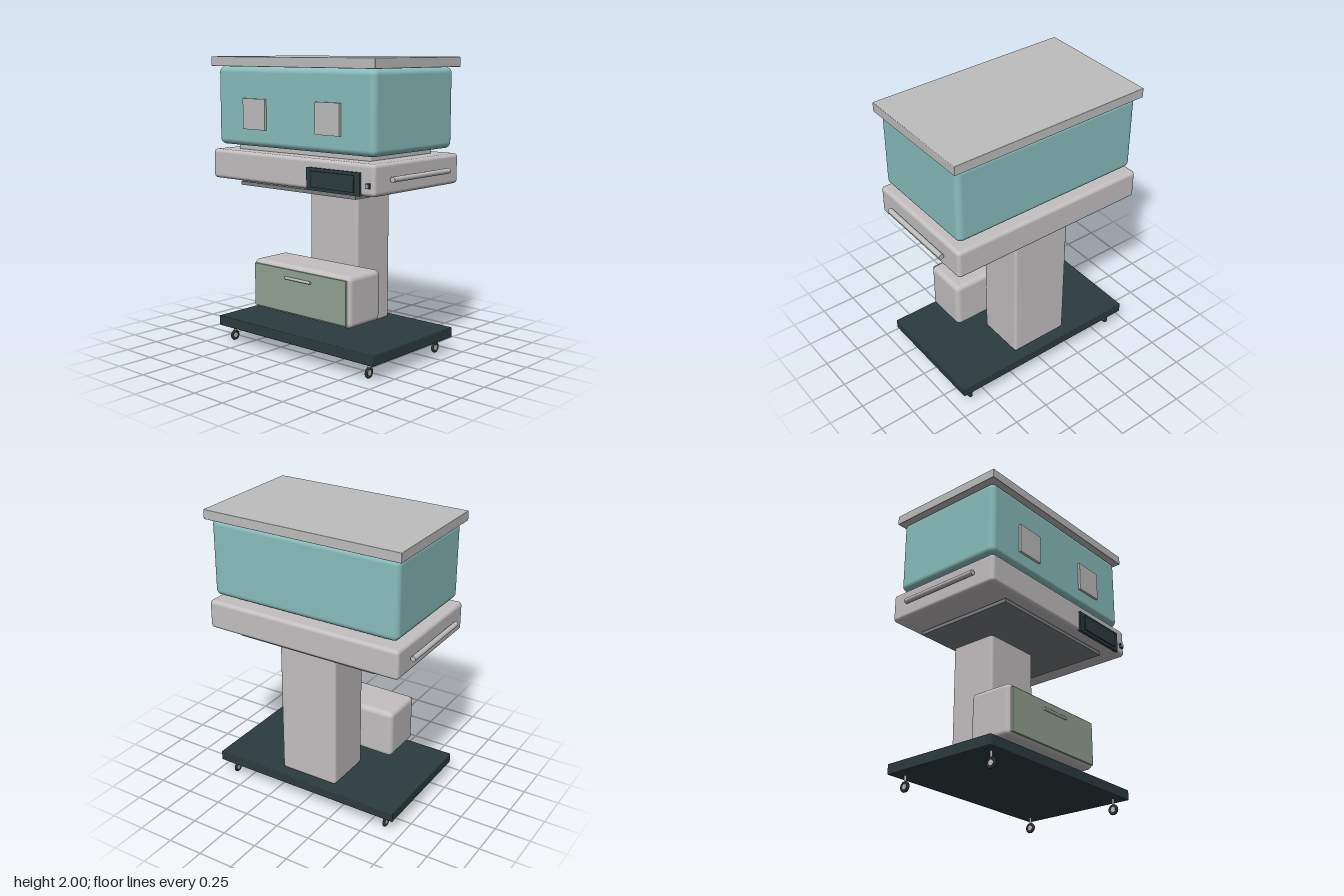
import * as THREE from 'three';
import { RoundedBoxGeometry } from 'three/addons/geometries/RoundedBoxGeometry.js';

export function createModel() {
  const model = new THREE.Group();
  model.name = 'infantWarmerCart';

  const mat = (name, color) => {
    const m = new THREE.MeshStandardMaterial({ color });
    m.name = name;
    return m;
  };
  const shell = mat('shell grey', 0xc4c0c2);
  const metal = mat('metal grey', 0xbebebe);
  const teal = mat('hood teal', 0x8abebe);
  const dark = mat('dark slate', 0x2b3c3e);
  const plateGrey = mat('plate grey', 0x7c7f83);
  const sage = mat('drawer sage', 0x93a394);
  const rubber = mat('wheel rubber', 0x2c2f30);

  const add = (name, geo, material, parent = model) => {
    const mesh = new THREE.Mesh(geo, material);
    mesh.name = name;
    parent.add(mesh);
    return mesh;
  };
  // Box given by its extents, with rounded edges when r > 0
  const box = (name, material, [x0, x1], [y0, y1], [z0, z1], r = 0, parent = model) => {
    const s = [x1 - x0, y1 - y0, z1 - z0];
    const geo = r ? new RoundedBoxGeometry(...s, 4, r) : new THREE.BoxGeometry(...s);
    geo.translate((x0 + x1) / 2, (y0 + y1) / 2, (z0 + z1) / 2);
    return add(name, geo, material, parent);
  };

  // Hood with lid and two port covers
  box('lid', metal, [-0.72, 0.72], [1.935, 2], [-0.45, 0.43], 0.004);
  box('hood', teal, [-0.69, 0.69], [1.405, 1.935], [-0.42, 0.4], 0.04);
  for (const s of [-1, 1]) {
    const x = s * 0.325;
    box(s < 0 ? 'rightPort' : 'leftPort', metal, [x - 0.103, x + 0.103], [1.52, 1.725], [0.395, 0.417]);
  }
  box('mattress', shell, [-0.587, 0.587], [1.36, 1.415], [-0.33, 0.31], 0.015);

  // Tray with side rails
  box('tray', shell, [-0.718, 0.718], [1.17, 1.37], [-0.45, 0.43], 0.025);
  for (const s of [-1, 1]) {
    const rail = new THREE.CylinderGeometry(0.018, 0.018, 0.59, 20);
    rail.rotateX(Math.PI / 2).translate(s * 0.743, 1.268, -0.01);
    add(s < 0 ? 'rightRail' : 'leftRail', rail, metal);
  }

  // Control panel
  box('controlPanel', dark, [0.175, 0.615], [1.17, 1.315], [0.42, 0.443]);
  box('controlScreen', dark, [0.218, 0.573], [1.19, 1.295], [0.443, 0.452]);
  box('buttonBezel', dark, [0.658, 0.69], [1.222, 1.254], [0.43, 0.443]);
  box('button', teal, [0.663, 0.685], [1.227, 1.249], [0.443, 0.448]);

  // Support plate and column
  box('supportPlate', plateGrey, [-0.513, 0.513], [1.13, 1.155], [-0.375, 0.36]);
  box('column', shell, [-0.215, 0.215], [0.178, 1.18], [-0.36, -0.012], 0.02);

  // Drawer unit
  box('drawerBox', shell, [-0.437, 0.437], [0.273, 0.618], [0.01, 0.325], 0.035);
  box('drawerFront', sage, [-0.413, 0.413], [0.297, 0.592], [0.322, 0.337]);
  const pull = new THREE.CylinderGeometry(0.01, 0.01, 0.23, 14);
  pull.rotateZ(Math.PI / 2).translate(0, 0.534, 0.345);
  add('drawerPull', pull, metal);

  // Base
  box('base', dark, [-0.704, 0.704], [0.11, 0.18], [-0.435, 0.415], 0.006);

  // Casters: stem, fork cap, tyre and hub
  for (const x of [-0.617, 0.617]) {
    for (const z of [0.345, -0.362]) {
      const caster = new THREE.Group();
      caster.name = 'caster';
      caster.position.set(x, 0.038, z);
      model.add(caster);
      const stem = new THREE.CylinderGeometry(0.008, 0.008, 0.06, 12).translate(0, 0.045, 0);
      add('casterStem', stem, metal, caster);
      const tyre = new THREE.TorusGeometry(0.027, 0.01, 10, 28).rotateY(Math.PI / 2);
      add('casterTyre', tyre, rubber, caster);
      const hub = new THREE.CylinderGeometry(0.019, 0.019, 0.014, 20).rotateZ(Math.PI / 2);
      add('casterHub', hub, metal, caster);
    }
  }
  return model;
}
